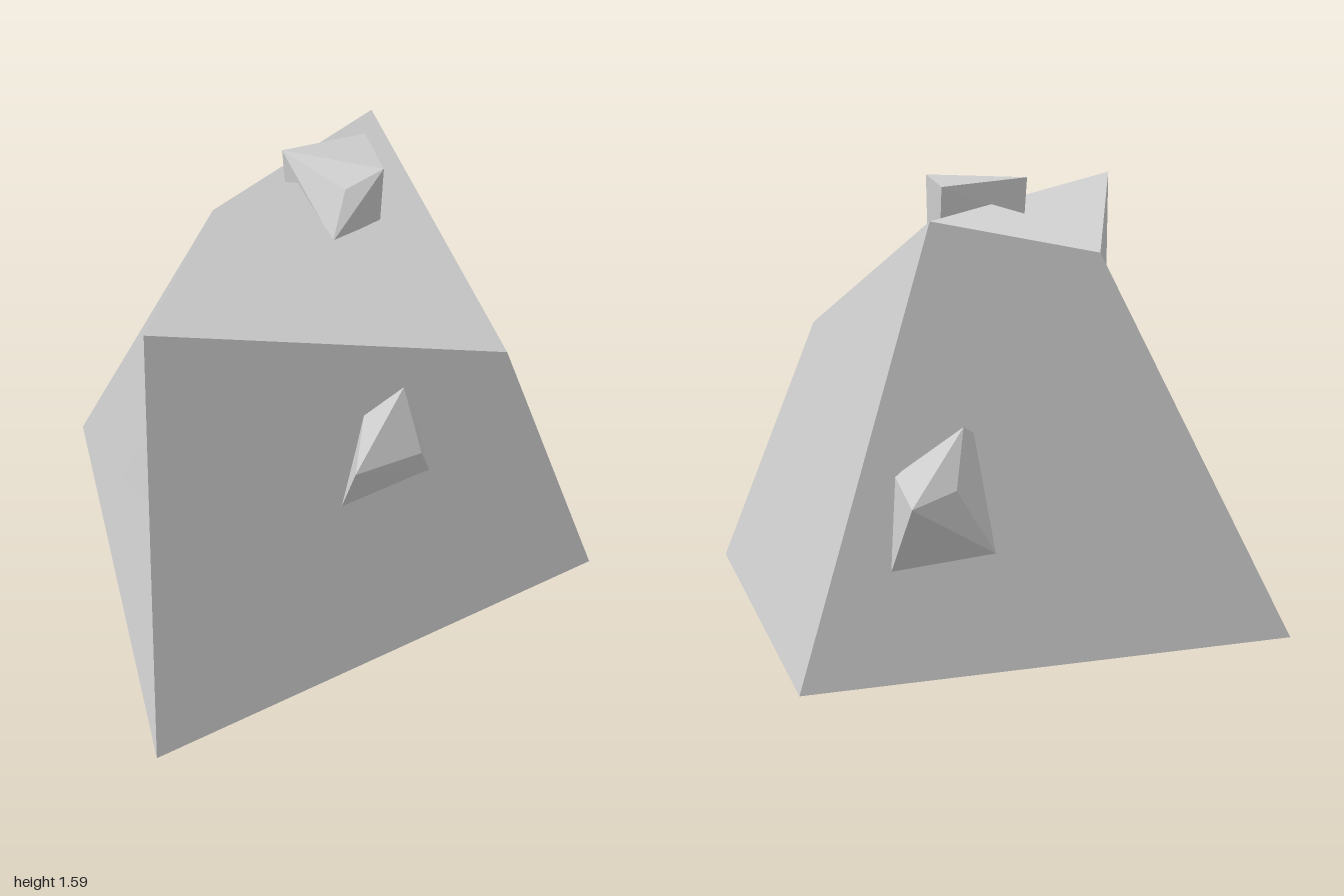
import * as THREE from 'three';
import { ConvexGeometry } from 'three/addons/geometries/ConvexGeometry.js';

const vec = (p) => new THREE.Vector3(...p);
const material = () => new THREE.MeshStandardMaterial({ color: 0xcccccc });

// Skewed block: each quad is split along its first-to-third corner and shaded as one facet
function blockGeometry(corners, quads) {
  const positions = [], normals = [];
  for (const quad of quads) {
    const q = [...quad].map((name) => vec(corners[name]));
    const n = q[2].clone().sub(q[0]).cross(q[3].clone().sub(q[1])).normalize();
    for (const i of [0, 1, 2, 0, 2, 3]) {
      positions.push(...q[i].toArray());
      normals.push(...n.toArray());
    }
  }
  const geometry = new THREE.BufferGeometry();
  geometry.setAttribute('position', new THREE.Float32BufferAttribute(positions, 3));
  geometry.setAttribute('normal', new THREE.Float32BufferAttribute(normals, 3));
  return geometry;
}

// Small faceted stones; the last point of each is buried in the boulder
const stones = {
  frontStone: [
    [-0.14, 0.91, 0.80], [0.13, 0.865, 0.70], [0.10, 1.07, 0.585], [-0.05, 1.0, 0.61],
    [0.13, 1.04, 0.54], [0.20, 0.70, 0.605], [-0.155, 0.69, 0.695], [0.02, 0.85, 0.5],
  ],
  topStone: [
    [-0.09, 1.59, -0.24], [0.215, 1.59, 0], [0.25, 1.57, -0.32], [0.07, 1.535, 0.01],
    [0, 1.38, 0.09], [0.23, 1.345, -0.07], [0, 1.44, -0.06], [-0.08, 1.44, -0.24],
    [0.25, 1.41, -0.3], [0.1, 1.3, -0.12],
  ],
  backStone: [
    [0.55, 0.635, -1.0], [0.39, 0.67, -0.95], [0.33, 0.845, -0.83], [0.24, 0.43, -0.89],
    [0.24, 0.505, -0.83], [0.58, 0.39, -0.85], [0.28, 0.81, -0.78], [0.55, 0.69, -0.79],
    [0.25, 0.42, -0.84], [0.4, 0.6, -0.7],
  ],
  sideStone: [
    [-0.83, 0.58, 0.16], [-0.57, 0.78, 0.02], [-0.67, 0.86, 0.23], [-0.69, 0.49, 0.41],
    [-0.65, 0.49, 0.41], [-0.63, 0.62, 0.07], [-0.57, 0.82, 0.15], [-0.61, 0.78, 0.31],
    [-0.5, 0.65, 0.2],
  ],
};

export function createModel() {
  const model = new THREE.Group();
  model.name = 'boulder';

  // Main body: A-D run round the base, E-H round the top
  const corners = {
    A: [-0.91, 0, 1.0], B: [0.91, 0.04, 0.56], C: [0.90, 0.03, -0.91], D: [-0.84, 0.02, -0.91],
    E: [-0.79, 1.53, 0.70], F: [0.56, 1.0, 0.40], G: [0.39, 1.49, -0.66], H: [-0.33, 1.325, -0.35],
  };
  const quads = ['BFEA', 'CGFB', 'DHGC', 'AEHD', 'EFGH', 'ADCB'];
  const body = new THREE.Mesh(blockGeometry(corners, quads), material());
  body.name = 'body';
  model.add(body);

  // Stones set into the faces
  for (const [name, points] of Object.entries(stones)) {
    const stone = new THREE.Mesh(new ConvexGeometry(points.map(vec)), material());
    stone.name = name;
    model.add(stone);
  }
  return model;
}
